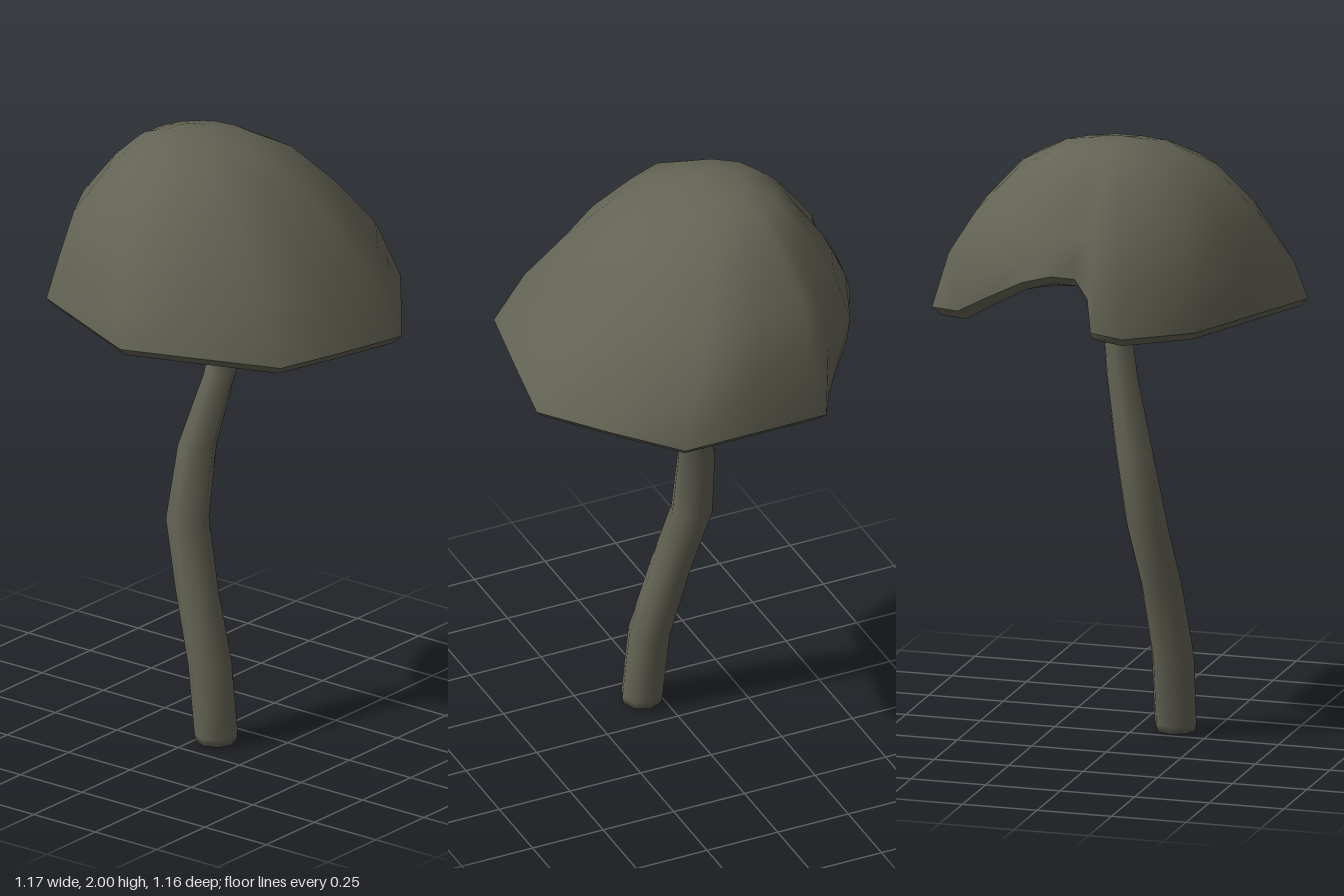
import * as THREE from 'three';
import { mergeVertices } from 'three/addons/utils/BufferGeometryUtils.js';

// Skin a stack of closed rings; rings run counterclockwise seen from above, listed bottom to top.
function loft(rings) {
  const n = rings[0].length;
  const index = [];
  for (let i = 0; i < rings.length - 1; i++) {
    for (let j = 0; j < n; j++) {
      const k = (j + 1) % n;
      const a = i * n + j, b = i * n + k, c = a + n, d = b + n;
      index.push(a, b, d, a, d, c);
    }
  }
  const geo = new THREE.BufferGeometry();
  geo.setAttribute('position', new THREE.Float32BufferAttribute(rings.flat(2), 3));
  geo.setIndex(index);
  const merged = mergeVertices(geo, 1e-4);
  merged.computeVertexNormals();
  return merged;
}

// Seven-sided rim [x, y, z, bulge of the wall above], with a raised bite in the back edge
const RIM = [
  [-0.59, 1.48, 0.03, 0], [-0.468, 1.465, 0.26, 0], [-0.345, 1.45, 0.49, 0], [-0.09, 1.435, 0.535, 0],
  [0.17, 1.425, 0.58, 0], [0.38, 1.425, 0.415, 0], [0.585, 1.43, 0.25, 0], [0.585, 1.43, 0, 0],
  [0.585, 1.43, -0.25, 0], [0.48, 1.44, -0.31, 0.06], [0.34, 1.53, -0.44, 0.09], [0.2, 1.61, -0.515, 0.06],
  [0.1, 1.64, -0.53, 0.04], [0.03, 1.63, -0.5, 0.06], [-0.025, 1.58, -0.54, 0.04], [-0.05, 1.48, -0.585, 0.03],
  [-0.15, 1.46, -0.565, 0.05], [-0.36, 1.47, -0.45, 0.02], [-0.475, 1.475, -0.21, 0],
];

// Dome levels above the rim: height, x radius, z radius, z centre, roundness
const LEVELS = [
  [1.61, 0.55, 0.5, -0.02, 0.25],
  [1.76, 0.46, 0.415, -0.07, 0.5],
  [1.9, 0.33, 0.29, -0.095, 0.65],
  [1.97, 0.205, 0.185, -0.13, 0.7],
  [2.0, 0.09, 0.075, -0.15, 0.8],
  [2.0, 0, 0, -0.15, 1],
];

function domeRings() {
  return LEVELS.map(([y, rx, rz, cz, round]) => RIM.map(([px, py, pz, bulge]) => {
    const len = Math.hypot(px, pz);
    const r = THREE.MathUtils.lerp(len / 0.59, 1, round) + bulge * (1 - round) * 1.6;
    const height = y < 1.7 ? Math.max(y, py + 0.06) : y;
    return [(px / len) * r * rx, height, cz + (pz / len) * r * rz];
  }));
}

// Shallow hollow: [scale of the rim, blend from lip height to the ceiling]
function undersideRings() {
  const steps = [[0.95, 0], [0.86, 0.42], [0.6, 0.8], [0.3, 0.95], [0, 1]];
  return steps.map(([s, blend]) => RIM.map(([x, y, z]) => [
    x * s, THREE.MathUtils.lerp(y - 0.028, 1.57, blend), z * s,
  ]));
}

function stemRings() {
  // Height, x, z and radius along the bent stalk
  const path = [
    [0, -0.135, 0.065, 0],
    [0.005, -0.135, 0.065, 0.066],
    [0.03, -0.135, 0.064, 0.07],
    [0.26, -0.134, 0.039, 0.071],
    [0.5, -0.118, -0.028, 0.069],
    [0.72, -0.087, -0.09, 0.07],
    [0.96, -0.042, -0.085, 0.063],
    [1.2, 0.014, -0.037, 0.052],
    [1.42, 0.042, -0.017, 0.046],
    [1.6, 0.058, -0.015, 0.042],
    [1.6, 0.058, -0.015, 0],
  ];
  const sides = 8;
  return path.map(([y, x, z, r]) => Array.from({ length: sides }, (_, j) => {
    const a = (j / sides) * Math.PI * 2;
    return [x + Math.cos(a) * r, y, z - Math.sin(a) * r];
  }));
}

export function createModel() {
  const group = new THREE.Group();
  group.name = 'mushroom';
  const skin = new THREE.MeshStandardMaterial({ color: 0x636355 });
  skin.name = 'greyOlive';
  const add = (name, geometry) => {
    const mesh = new THREE.Mesh(geometry, skin);
    mesh.name = name;
    group.add(mesh);
  };

  // Cap: outer dome, turned-under lip and hollow underside
  const rim = RIM.map((p) => p.slice(0, 3));
  const underside = undersideRings();
  add('capTop', loft([rim, ...domeRings()]));
  add('capLip', loft([underside[0], rim]));
  add('capUnderside', loft(underside.reverse()));

  // Stalk
  add('stem', loft(stemRings()));
  return group;
}
